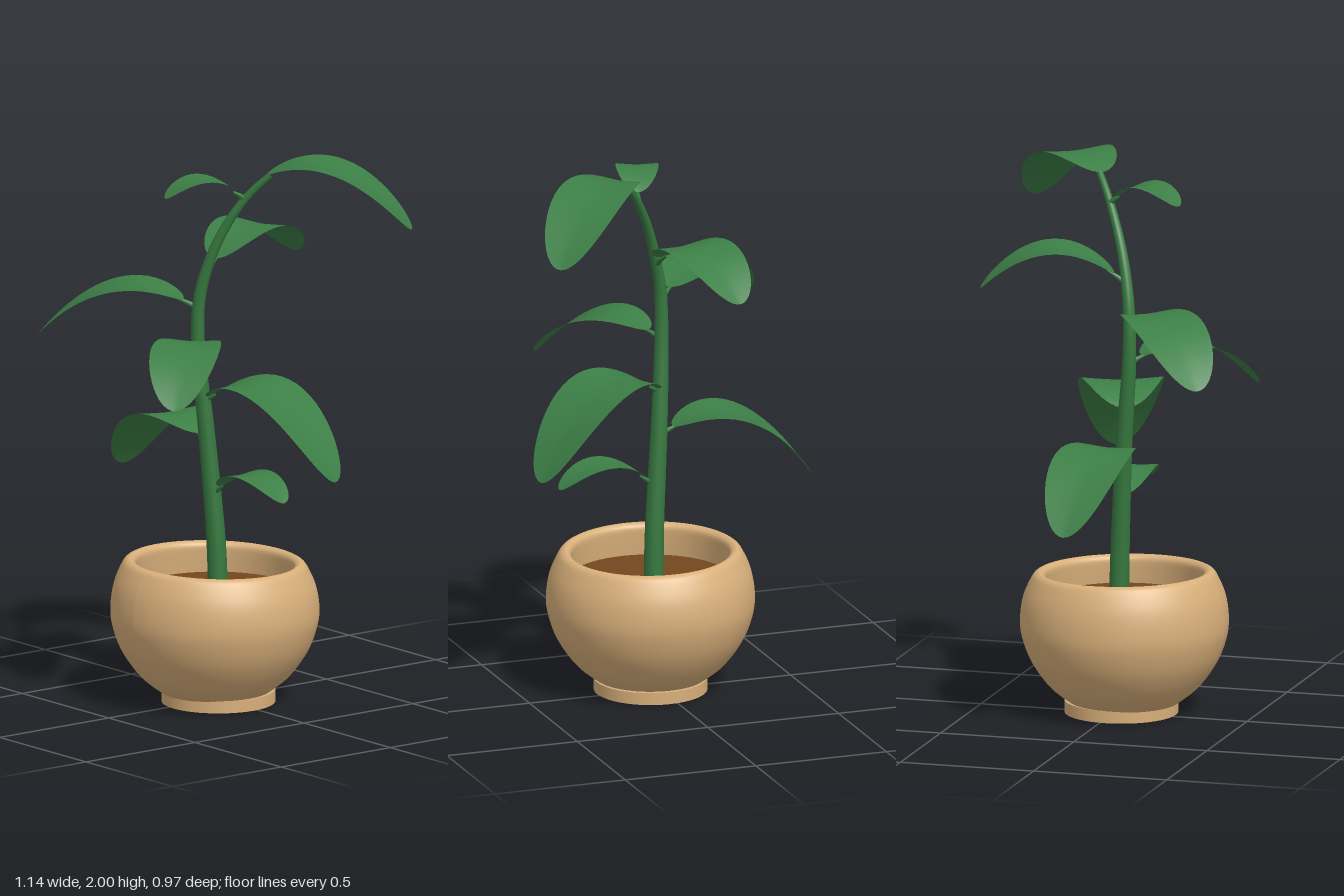
import * as THREE from 'three';

const mat = (name, color) => {
  const m = new THREE.MeshStandardMaterial({ color });
  m.name = name;
  return m;
};
const v3 = (x, y, z) => new THREE.Vector3(x, y, z);

// Tube whose radius shrinks from r0 to r1, faster towards the end as 'power' grows
function taperedTube(points, r0, r1, segments, sides, power = 1) {
  const path = new THREE.CatmullRomCurve3(points);
  const geo = new THREE.TubeGeometry(path, segments, 1, sides);
  const pos = geo.attributes.position;
  const p = v3();
  for (let i = 0; i <= segments; i++) {
    const c = path.getPointAt(i / segments);
    const r = r0 + (r1 - r0) * Math.pow(i / segments, power);
    for (let j = 0; j <= sides; j++) {
      const k = i * (sides + 1) + j;
      p.fromBufferAttribute(pos, k).sub(c).multiplyScalar(r).add(c);
      pos.setXYZ(k, p.x, p.y, p.z);
    }
  }
  geo.computeVertexNormals();
  return geo;
}

// Midrib: a parabola from base to tip that first climbs by 'rise'
function midrib(base, tip, rise) {
  const drop = base.y - tip.y;
  const a = 2 * rise + 2 * Math.sqrt(rise * rise + rise * drop);
  const b = -(a + drop);
  return {
    at: t => v3(base.x + (tip.x - base.x) * t, base.y + a * t + b * t * t, base.z + (tip.z - base.z) * t),
    slope: t => v3(tip.x - base.x, a + 2 * b * t, tip.z - base.z).normalize(),
  };
}

// Elliptical blade swept along the midrib, very slightly folded
function bladeGeometry(rib, start, width) {
  const rows = 28, cols = 10, pos = [], idx = [];
  for (let i = 0; i <= rows; i++) {
    const angle = Math.PI * i / rows;
    const t = start + (1 - start) * (1 - Math.cos(angle)) / 2;
    const c = rib.at(t), dir = rib.slope(t);
    const side = v3(dir.z, 0, -dir.x).normalize();
    const up = dir.clone().cross(side);
    const half = width / 2 * Math.sin(angle);
    for (let j = 0; j <= cols; j++) {
      const u = j / cols * 2 - 1;
      const lift = 0.07 * half * Math.pow(Math.abs(u), 1.3);
      const p = c.clone().addScaledVector(side, u * half).addScaledVector(up, lift);
      pos.push(p.x, p.y, p.z);
      if (i < rows && j < cols) {
        const k = i * (cols + 1) + j, n = k + cols + 1;
        idx.push(k, k + 1, n, k + 1, n + 1, n);
      }
    }
  }
  const geo = new THREE.BufferGeometry();
  geo.setAttribute('position', new THREE.Float32BufferAttribute(pos, 3));
  geo.setIndex(idx);
  geo.computeVertexNormals();
  return geo;
}

export function createModel() {
  const clay = mat('clay', 0xd8af7a);
  const earth = mat('earth', 0x74471f);
  const stemGreen = mat('stem green', 0x36783f);
  const leafGreen = mat('leaf green', 0x3c7f46);
  leafGreen.side = THREE.DoubleSide;

  const root = new THREE.Group();
  root.name = 'pottedPlant';
  const add = (name, geo, material, parent = root) => {
    const mesh = new THREE.Mesh(geo, material);
    mesh.name = name;
    parent.add(mesh);
    return mesh;
  };

  // Pot: foot, rounded bowl with a hollow top, and soil
  const pot = new THREE.Group();
  pot.name = 'pot';
  pot.position.set(0.025, 0, 0.032);
  root.add(pot);
  const foot = add('potFoot', new THREE.CylinderGeometry(0.205, 0.205, 0.045, 48), clay, pot);
  foot.position.set(0.004, 0.0225, -0.013);

  const profile = new THREE.SplineCurve([
    [0.195, 0.04], [0.27, 0.1], [0.335, 0.19], [0.369, 0.28], [0.376, 0.35], [0.364, 0.43],
    [0.334, 0.5], [0.315, 0.519], [0.3, 0.519], [0.287, 0.505], [0.287, 0.47], [0.295, 0.38],
  ].map(p => new THREE.Vector2(...p))).getPoints(60);
  const bowl = new THREE.LatheGeometry(profile, 56);
  // The handmade rim dips slightly to one side
  const bp = bowl.attributes.position;
  for (let i = 0; i < bp.count; i++) {
    const k = THREE.MathUtils.smoothstep(bp.getY(i), 0.3, 0.52);
    bp.setY(i, bp.getY(i) - 0.02 * k * (bp.getX(i) - bp.getZ(i)));
  }
  bowl.computeVertexNormals();
  add('potBowl', bowl, clay, pot);
  add('soil', new THREE.CylinderGeometry(0.293, 0.293, 0.02, 48), earth, pot).position.y = 0.4;

  // Bending main stem
  add('stem', taperedTube([
    v3(0.02, 0.39, 0.013), v3(0.014, 0.6, 0.019), v3(-0.013, 1.0, 0.042), v3(-0.03, 1.3, 0.066),
    v3(-0.025, 1.48, 0.064), v3(0, 1.6, 0.046), v3(0.03, 1.7, 0.02), v3(0.072, 1.8, -0.018),
    v3(0.125, 1.89, -0.065), v3(0.175, 1.95, -0.107),
  ], 0.036, 0.012, 60, 14, 1.4), stemGreen);

  // Leaves: base, tip, rise, width, where the blade starts along the midrib
  const leaves = [
    [v3(0.165, 1.95, -0.095), v3(0.55, 1.765, -0.455), 0.042, 0.275, 0],
    [v3(0.0, 1.585, 0.045), v3(-0.138, 1.565, -0.46), 0.125, 0.265, 0.08],
    [v3(-0.03, 1.445, 0.066), v3(-0.475, 1.315, 0.455), 0.074, 0.275, 0.09],
    [v3(-0.03, 1.295, 0.064), v3(0.312, 1.18, 0.445), 0.064, 0.25, 0.1],
    [v3(-0.02, 1.1, 0.05), v3(0.508, 0.87, -0.14), 0.086, 0.31, 0.05],
    [v3(-0.01, 0.94, 0.04), v3(-0.567, 0.765, -0.02), 0.078, 0.28, 0.09],
    [v3(0.005, 0.755, 0.03), v3(0.385, 0.79, 0.0), 0.11, 0.165, 0.12],
    [v3(0.1, 1.855, -0.045), v3(0.003, 1.88, 0.242), 0.084, 0.155, 0.1],
  ];
  leaves.forEach(([base, tip, rise, width, start], i) => {
    const leaf = new THREE.Group();
    leaf.name = `leaf${i + 1}`;
    root.add(leaf);
    const rib = midrib(base, tip, rise);
    add('blade', bladeGeometry(rib, start, width), leafGreen, leaf);
    // Short stalk tucked under the blade; the top leaf sits right on the stem
    if (start > 0) {
      const end = start + 0.05;
      const stalk = [0, 0.5, 1].map(s => rib.at(s * end).add(v3(0, -0.01 * s, 0)));
      add('stalk', taperedTube(stalk, 0.013, 0.004, 8, 8), stemGreen, leaf);
    }
  });

  return root;
}
